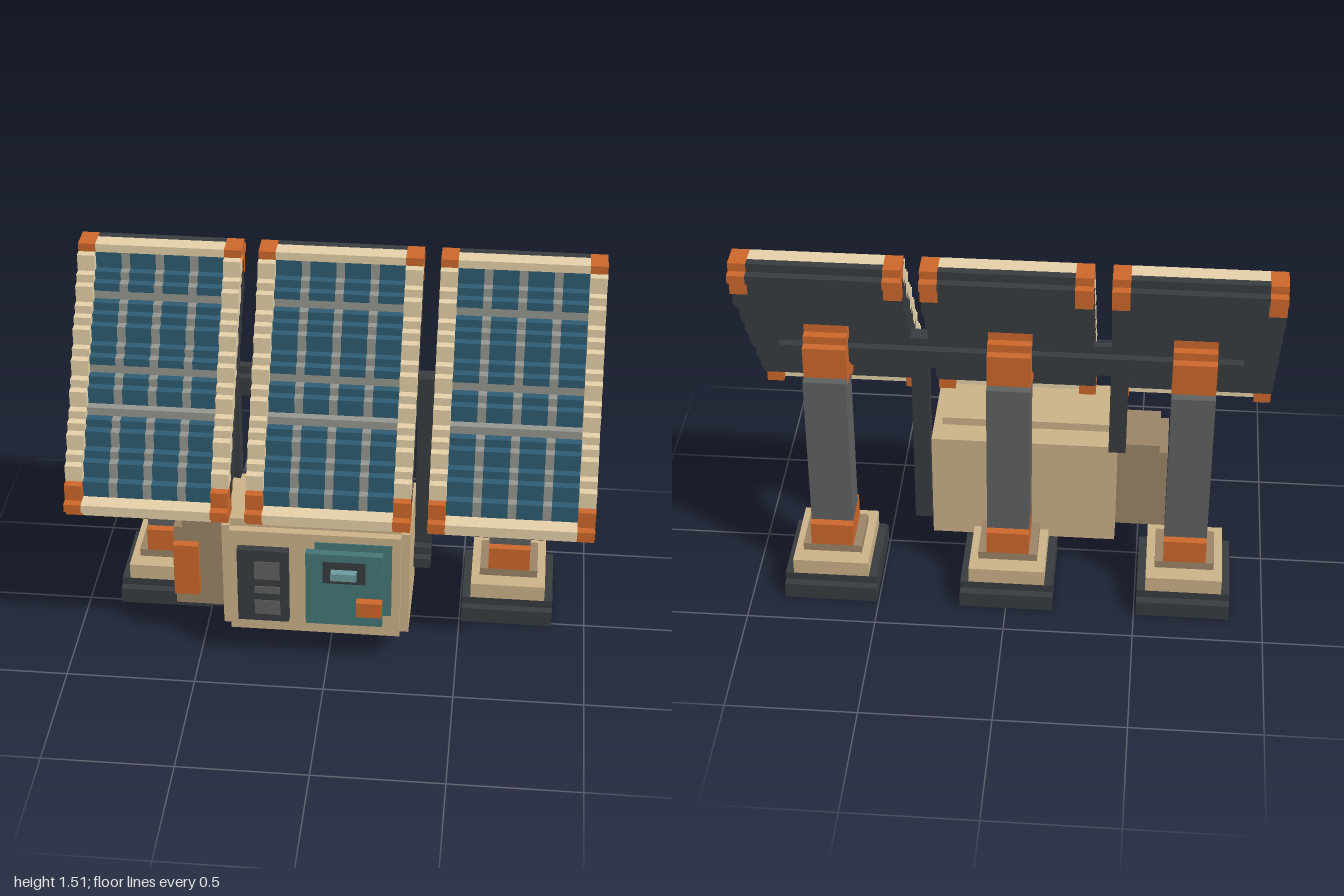
import * as THREE from 'three';
import { mergeGeometries } from 'three/addons/utils/BufferGeometryUtils.js';

// Everything is laid out on a block grid: 61 wide, 46 high, 23 deep (k grows to the front)
const V = 2 / 61;
const TAN = 0xe4d0a8, BODY = 0xcbb187, SHADE = 0x9a8467, DARK = 0x383c3e, GREY = 0x5e615f;
const ORANGE = 0xcc672b, BLUE = 0x2d5b71, BAR = 0x95968f, TEAL = 0x457676, SCREEN = 0x6d9b9e;

// One mesh from boxes given as [x0, x1, y0, y1, z0, z1] in grid units
function part(parent, name, color, boxes) {
  const geos = boxes.map(([x0, x1, y0, y1, z0, z1]) =>
    new THREE.BoxGeometry((x1 - x0) * V, (y1 - y0) * V, (z1 - z0) * V).translate(
      ((x0 + x1) / 2 - 30.5) * V, ((y0 + y1) / 2) * V, ((z0 + z1) / 2 - 11.5) * V));
  const mesh = new THREE.Mesh(mergeGeometries(geos), new THREE.MeshStandardMaterial({ color, flatShading: true }));
  mesh.name = name;
  parent.add(mesh);
}

function addGroup(parent, name) {
  const g = new THREE.Group();
  g.name = name;
  parent.add(g);
  return g;
}

// Front depth of the tilted panel in row r
const slope = (r) => Math.round(20 - (r - 23.5) * 0.7);

function addPanel(root, name, x) {
  const g = addGroup(root, name);
  const frame = [], cells = [], bars = [], back = [];
  const barRows = [29, 33, 40];
  for (let r = 21; r < 45; r++) {
    const f = slope(r);
    if (r >= 23) frame.push([x, x + 2, r, r + 1, f - 2, f], [x + 17, x + 19, r, r + 1, f - 2, f]);
    // cell rows, four columns split by thin bars
    const z = Math.min(20, f - 1);
    if (barRows.includes(r)) bars.push([x + 2, x + 17, r, r + 1, z - 1, z]);
    else for (let c = 0; c < 4; c++) {
      const cx = x + 2 + c * 4;
      cells.push([cx, cx + 3, r, r + 1, z - 1, z]);
      if (c < 3) bars.push([cx + 3, cx + 4, r, r + 1, z - 1, z]);
    }
    // stepped backing
    const inset = r > 43 ? 2 : 0;
    back.push([x + inset, x + 19 - inset, r, r + 1, Math.max(3, f - 5), z - 1]);
  }
  back.push([x + 2, x + 17, 42, 44, 2, 3], [x + 2, x + 17, 44, 45, 1, 3], [x + 2, x + 17, 45, 46, 2, 3]);
  // top and bottom rails
  frame.push([x + 2, x + 17, 45, 46, 3, 5], [x + 2, x + 17, 20, 21, 19, 22], [x + 2, x + 17, 19, 20, 19, 21]);
  part(g, 'panelFrame', TAN, frame);
  part(g, 'solarCells', BLUE, cells);
  part(g, 'cellBars', BAR, bars);
  part(g, 'panelBacking', DARK, back);
  // corner caps
  const caps = [];
  for (const a of [x, x + 17]) {
    const b = a + 2;
    caps.push([a, b, 19, 20, 18, 21], [a, b, 20, 21, 18, 22], [a, b, 21, 23, 19, 21],
      [a, b, 45, 46, 2, 5], [a, b, 44, 45, 1, 4], [a, b, 42, 44, 2, 3]);
  }
  part(g, 'cornerCaps', ORANGE, caps);
}

function addPost(root, name, c) {
  const g = addGroup(root, name);
  const w = (h, y0, y1, z0, z1) => [c - h, c + h, y0, y1, z0, z1];
  part(g, 'footing', DARK, [w(5.5, 0, 2, 0, 12), w(5.5, 2, 3, 1, 11)]);
  part(g, 'plinth', BODY, [w(4.5, 3, 5, 1, 11)]);
  part(g, 'plinthCap', SHADE, [w(3.5, 5, 6, 3, 9)]);
  part(g, 'collar', ORANGE, [w(2.5, 6, 9, 3, 9)]);
  part(g, 'column', GREY, [w(2.5, 9, 28, 4, 8), w(2.5, 28, 29, 4, 5)]);
  // hinge wrapped round the beam
  part(g, 'hinge', ORANGE, [w(2.5, 28, 33, 5, 7), w(2.5, 33, 34, 6, 8), w(2.5, 34, 35, 7, 8),
    w(2.5, 28, 30, 7, 11), w(2.5, 27, 28, 8, 10)]);
  // stepped diagonal brace
  const brace = [w(1.5, 14, 18, 8, 9), w(0.5, 13, 14, 8, 9)];
  for (let j = 0; j < 6; j++) brace.push(w(1.5, 23 - j, 25 - j, 13 - j, 15 - j));
  part(g, 'brace', DARK, brace);
}

function addCabinet(root) {
  const g = addGroup(root, 'cabinet');
  part(g, 'cabinetBody', BODY, [[18, 40, 4, 18, 9, 20], [19, 39, 4, 18, 20, 21], [19, 39, 18, 19, 12, 20]]);
  part(g, 'cabinetFeet', DARK, [[20, 25, 2, 4, 12, 18], [34, 38, 2, 4, 12, 18]]);
  part(g, 'sideBox', SHADE, [[13, 18, 5, 17, 11, 18], [12, 13, 5, 16, 11, 18]]);
  part(g, 'sideBoxPanel', ORANGE, [[12, 15, 7, 14, 18, 19]]);
  part(g, 'vent', DARK, [[20, 26, 6, 16, 21, 22]]);
  part(g, 'ventSlats', GREY, [[22, 25, 12, 14.5, 21.5, 22.1], [22, 25, 10, 11, 21.5, 22.1], [22, 25, 7, 9, 21.5, 22.1]]);
  part(g, 'door', TEAL, [[28, 37, 6, 16, 21, 22], [29, 38, 7, 17, 20.9, 21.1]]);
  part(g, 'displayBezel', DARK, [[30, 35, 12, 15, 21.8, 22.1]]);
  part(g, 'display', SCREEN, [[31, 34, 13, 14, 22, 23]]);
  part(g, 'doorHandle', ORANGE, [[34, 37, 8, 10, 22, 23]]);
}

export function createModel() {
  const root = new THREE.Group();
  root.name = 'solarArray';
  ['right', 'middle', 'left'].forEach((side, i) => {
    addPanel(root, side + 'Panel', i * 21);
    addPost(root, side + 'Post', 9.5 + i * 21);
  });
  addCabinet(root);
  // beam running through the hinges, and the cable ducts hanging from it
  part(root, 'crossBeam', DARK, [[4, 57, 30, 32, 7, 10], [4, 57, 29, 33, 8, 9]]);
  part(root, 'cableDucts', DARK, [[40, 42, 7, 33, 8, 10], [17, 19, 18, 33, 8, 10]]);
  part(root, 'ductCoupler', DARK, [[40, 42, 8, 9, 10, 12], [40, 42, 7, 8, 10, 11], [40, 42, 9, 10, 10, 11]]);
  return root;
}
